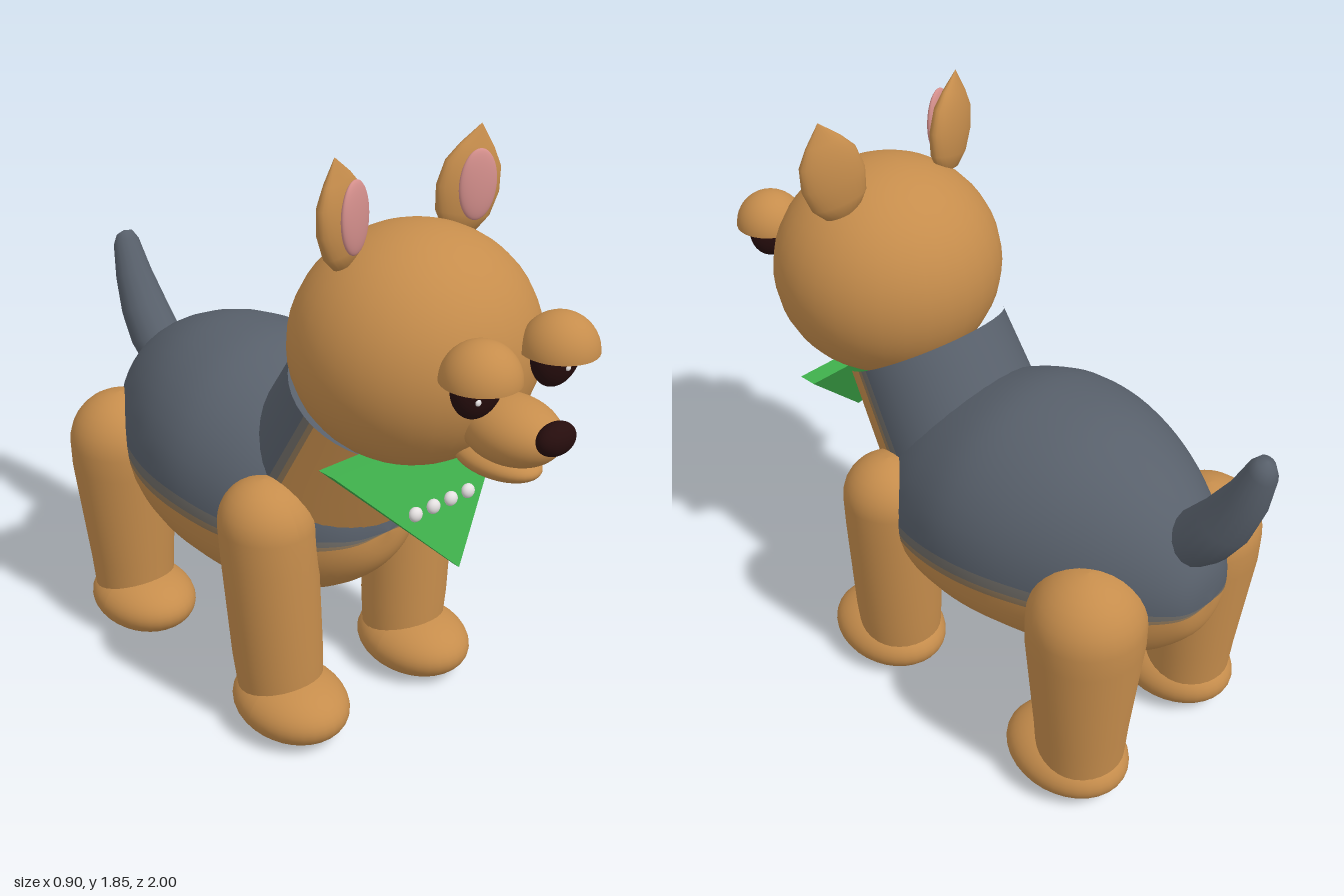
import * as THREE from 'three';

const mat = (name, color, side = THREE.FrontSide) => {
  const m = new THREE.MeshStandardMaterial({ color, side });
  m.name = name;
  return m;
};

export function createModel() {
  const root = new THREE.Group();
  root.name = 'dog';
  const tan = mat('tan fur', 0xc68d4c);
  const grey = mat('grey fur', 0x58606b);
  const blendDark = mat('grey brown fur', 0x6f6c67);
  const blendLight = mat('brown fur', 0x8f7759);
  const dark = mat('dark brown', 0x260d0d);
  const pink = mat('ear pink', 0xd48f8c);
  const green = mat('scarf green', 0x3fb04c);
  const white = mat('white', 0xe4e0e0);

  const add = (name, geo, material, pos = [0, 0, 0], parent = root) => {
    const m = new THREE.Mesh(geo, material);
    m.name = name;
    m.position.set(...pos);
    parent.add(m);
    return m;
  };
  const ball = (name, material, pos, [rx, ry, rz], parent) =>
    add(name, new THREE.SphereGeometry(1, 32, 24).scale(rx, ry, rz), material, pos, parent);
  const lathe = (pts, seg = 32) => new THREE.LatheGeometry(pts.map(p => new THREE.Vector2(...p)), seg);

  // Elliptical loft along z; sections are [z, centreY, radiusY, radiusX], back to front.
  // Arcs around the section carry the saddle, two blend bands and the belly.
  const coat = [grey, blendDark, blendLight, tan];
  const arcs = [[0, 180, 20, 0], [180, 186, 1, 1], [186, 190, 1, 2], [190, 350, 18, 3], [350, 354, 1, 2], [354, 360, 1, 1]];
  function coatLoft(sections, steps) {
    const centre = new THREE.CatmullRomCurve3(sections.map(s => new THREE.Vector3(s[0], s[1], 0)), false, 'catmullrom');
    const radius = new THREE.CatmullRomCurve3(sections.map(s => new THREE.Vector3(s[2], s[3], 0)), false, 'catmullrom');
    const angles = [], slot = [];
    for (const [a, b, n, m] of arcs) {
      for (let k = 0; k < n; k++) {
        angles.push(THREE.MathUtils.degToRad(a + (b - a) * k / n));
        slot.push(m);
      }
    }
    const pos = [], idx = [], n = angles.length;
    for (let i = 0; i <= steps; i++) {
      const c = centre.getPoint(i / steps), r = radius.getPoint(i / steps);
      for (const a of angles) pos.push(r.y * Math.cos(a), c.y + r.x * Math.sin(a), c.x);
    }
    const geo = new THREE.BufferGeometry();
    for (let j = 0; j < n; j++) {
      geo.addGroup(idx.length, steps * 6, slot[j]);
      for (let i = 0; i < steps; i++) {
        const a = i * n + j, b = i * n + (j + 1) % n;
        idx.push(a, b, a + n, b, b + n, a + n);
      }
    }
    geo.setAttribute('position', new THREE.Float32BufferAttribute(pos, 3));
    geo.setIndex(idx);
    geo.computeVertexNormals();
    return geo;
  }

  // Body and neck
  add('body', coatLoft([
    [-0.847, 0.70, 0, 0], [-0.835, 0.70, 0.09, 0.08], [-0.80, 0.705, 0.16, 0.14], [-0.72, 0.715, 0.25, 0.215],
    [-0.6, 0.725, 0.325, 0.295], [-0.45, 0.735, 0.375, 0.365], [-0.3, 0.737, 0.393, 0.41], [-0.15, 0.728, 0.393, 0.42],
    [0, 0.70, 0.365, 0.39], [0.12, 0.68, 0.315, 0.34], [0.22, 0.665, 0.25, 0.27], [0.3, 0.66, 0.18, 0.195],
    [0.35, 0.655, 0.10, 0.11], [0.37, 0.655, 0, 0]], 52), coat);
  const neck = add('neck', coatLoft([[0, 0, 0.275, 0.285], [0.2, 0, 0.268, 0.275], [0.48, 0, 0.25, 0.26]], 8), coat, [0, 0.67, 0.045]);
  neck.rotation.x = -Math.PI / 3;

  // Head, muzzle and nose
  ball('head', tan, [0, 1.293, 0.45], [0.36, 0.338, 0.345]);
  ball('muzzle', tan, [0, 1.16, 0.81], [0.115, 0.092, 0.155]);
  ball('lowerJaw', tan, [0, 1.06, 0.77], [0.088, 0.045, 0.14]);
  ball('nose', dark, [0, 1.187, 0.96], [0.064, 0.045, 0.04]);

  // Legs: tapered tubes with round tops, leaning from foot to shoulder
  function leg(name, s, z, rTop, rBottom, xTop, xBottom, zShift) {
    const pts = [[rBottom, 0.1], [rBottom + 0.01, 0.25], [rTop, 0.6]];
    const y0 = 0.85 - rTop;
    for (let k = 0; k <= 8; k++) pts.push([rTop * Math.cos(k * Math.PI / 16), y0 + rTop * Math.sin(k * Math.PI / 16)]);
    pts[pts.length - 1][0] = 0;
    const geo = lathe(pts), p = geo.attributes.position;
    for (let i = 0; i < p.count; i++) {
      const t = (p.getY(i) - 0.1) / 0.6;
      p.setX(i, p.getX(i) + s * (xBottom + (xTop - xBottom) * t));
      p.setZ(i, p.getZ(i) + z + zShift * t);
    }
    geo.computeVertexNormals();
    add(name, geo, tan);
    // Foot with a flat sole
    const foot = new THREE.SphereGeometry(1, 32, 24).scale(0.164, 0.105, 0.205);
    const f = foot.attributes.position;
    for (let i = 0; i < f.count; i++) f.setY(i, Math.max(f.getY(i), -0.095));
    foot.computeVertexNormals();
    add(name + 'Foot', foot, tan, [s * 0.265, 0.095, z + 0.05]);
  }

  // Leaf-shaped ear outline, flattened front to back
  const earGeo = lathe([[0, -0.15], [0.055, -0.135], [0.088, -0.09], [0.102, -0.02], [0.09, 0.05], [0.055, 0.1], [0, 0.16]], 24).scale(1, 1, 0.4);

  for (const s of [-1, 1]) {
    const side = s > 0 ? 'left' : 'right';
    leg(side + 'FrontLeg', s, 0.178, 0.147, 0.13, 0.295, 0.262, -0.018);
    leg(side + 'BackLeg', s, -0.615, 0.174, 0.132, 0.275, 0.265, -0.007);

    // Ear
    const ear = new THREE.Group();
    ear.name = side + 'Ear';
    ear.position.set(s * 0.237, 1.69, 0.405);
    ear.rotation.set(0, -s * 0.25, -s * 0.2);
    root.add(ear);
    add('earShell', earGeo, tan, [0, 0, 0], ear);
    const inner = ball('innerEar', pink, [0, 0, 0.043], [0.06, 0.1, 0.018], ear);
    inner.rotation.z = s * 0.17;

    // Eye under a heavy half-dome lid
    ball(side + 'Eye', dark, [s * 0.15, 1.34, 0.82], [0.087, 0.097, 0.05]);
    const lid = add(side + 'Eyelid', new THREE.SphereGeometry(0.107, 32, 12, 0, Math.PI * 2, 0, Math.PI / 2), tan, [s * 0.15, 1.347, 0.83]);
    add('lidUnderside', new THREE.CircleGeometry(0.107, 32).rotateX(Math.PI / 2), tan, [0, 0, 0], lid);
    ball(side + 'EyeGlint', white, [s > 0 ? 0.145 : -0.19, 1.31, s > 0 ? 0.867 : 0.862], [0.009, 0.009, 0.006]);
  }

  // Scarf: a wedge, thick at the top and thin at the tip
  const scarf = new THREE.BufferGeometry();
  scarf.setAttribute('position', new THREE.Float32BufferAttribute([
    -0.34, 1.005, 0.5, 0.34, 1.005, 0.5, 0, 0.665, 0.657,
    -0.34, 1.005, 0.44, 0.34, 1.005, 0.44, 0, 0.665, 0.64], 3));
  scarf.setIndex([0, 2, 1, 3, 4, 5, 0, 1, 4, 0, 4, 3, 0, 3, 5, 0, 5, 2, 1, 2, 5, 1, 5, 4]);
  const flatScarf = scarf.toNonIndexed();
  flatScarf.computeVertexNormals();
  add('scarf', flatScarf, green);
  for (let k = 0; k < 4; k++) ball('scarfBead', white, [(k - 1.5) * 0.07, 0.842, 0.58], [0.022, 0.022, 0.018]);

  // Tail: tapered and slightly bowed
  const tailGeo = lathe([[0.08, -0.06], [0.088, 0.05], [0.08, 0.16], [0.063, 0.28], [0.045, 0.39], [0.028, 0.42], [0, 0.428]], 16);
  const tp = tailGeo.attributes.position;
  for (let i = 0; i < tp.count; i++) {
    const t = tp.getY(i) / 0.42;
    tp.setZ(i, tp.getZ(i) - 0.12 * t * (1 - t));
  }
  tailGeo.computeVertexNormals();
  add('tail', tailGeo, grey, [0, 0.88, -0.765]).rotation.x = -0.49;

  return root;
}
